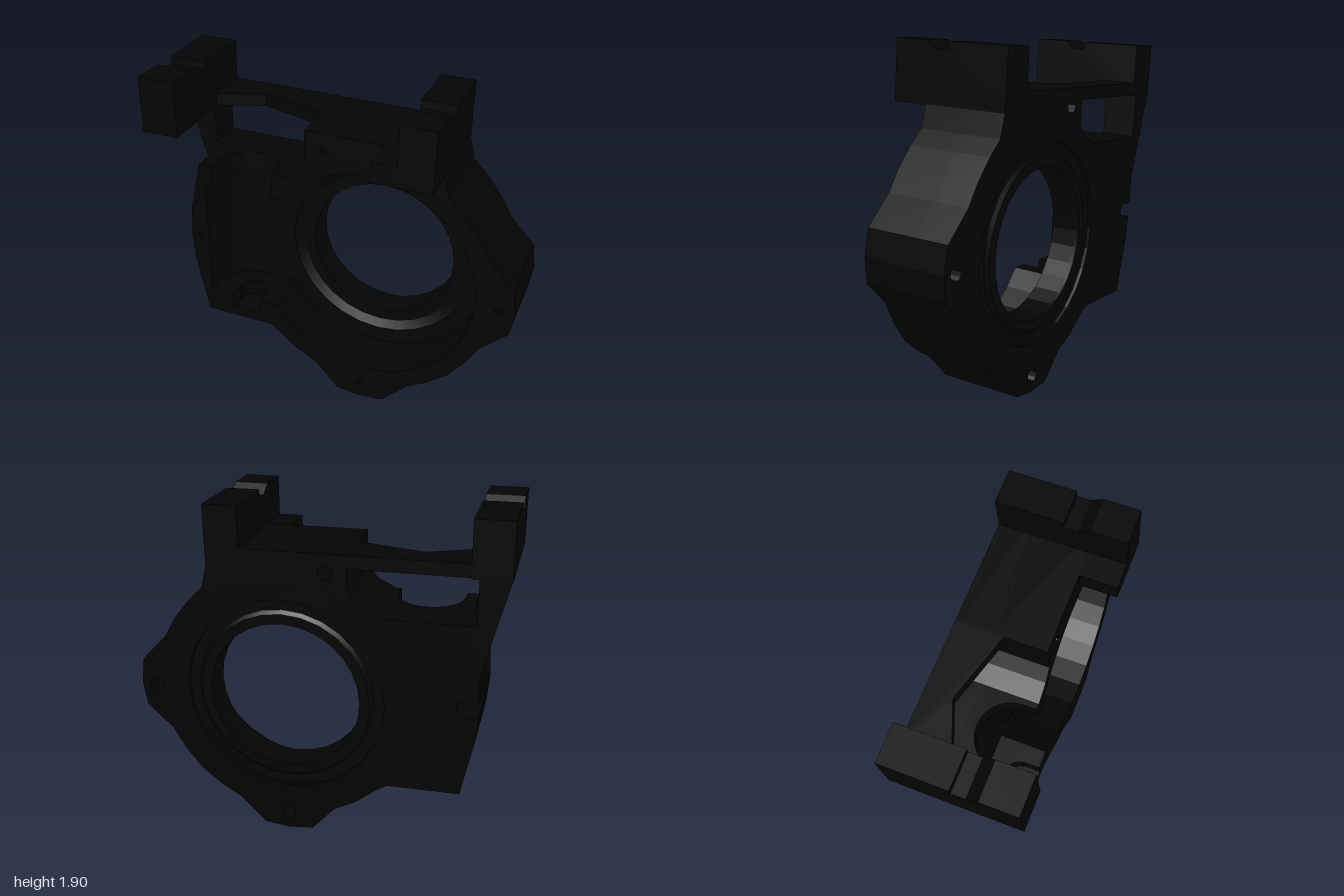
import * as THREE from 'three';
import { toCreasedNormals } from 'three/addons/utils/BufferGeometryUtils.js';

const CX = 0.17, CY = 0.829; // bore centre
const TILT = 0.0645;         // the whole housing leans back slightly

export function createModel() {
  const black = new THREE.MeshStandardMaterial({ color: 0x040404 });
  black.name = 'black';
  const blackOpen = black.clone();
  blackOpen.side = THREE.DoubleSide;

  const model = new THREE.Group();
  model.name = 'bearingHousing';
  const body = new THREE.Group();
  body.name = 'tiltedBody';
  body.rotation.x = -TILT;
  body.position.z = -0.23;
  model.add(body);

  const add = (name, geometry, material = black) => {
    const mesh = new THREE.Mesh(geometry, material);
    mesh.name = name;
    body.add(mesh);
  };
  const shapeOf = (pts) => new THREE.Shape(pts.map(([x, y]) => new THREE.Vector2(x, y)));
  const extrude = (shape, depth) =>
    new THREE.ExtrudeGeometry(shape, { depth, bevelEnabled: false });

  // Points on an arc around (cx, cy)
  const arc = (cx, cy, r, a0, a1, n) => Array.from({ length: n + 1 }, (_, i) => {
    const a = a0 + (a1 - a0) * i / n;
    return [cx + r * Math.cos(a), cy + r * Math.sin(a)];
  });
  const punch = (shape, x, y, r, n = 28) =>
    shape.holes.push(new THREE.Path(arc(x, y, r, 0, Math.PI * 2, n).slice(0, n)
      .map(([px, py]) => new THREE.Vector2(px, py))));

  // Extrusions: along z from z0 to z1, along y (plan in x,z), along x (profile in z,y)
  const slab = (name, shape, z0, z1) => add(name, extrude(shape, z1 - z0).translate(0, 0, z0));
  const plan = (name, pts, y0, y1) =>
    add(name, extrude(shapeOf(pts), y1 - y0).rotateX(Math.PI / 2).translate(0, y1, 0));
  const profile = (name, pts, x0, x1) =>
    add(name, extrude(shapeOf(pts), x1 - x0).rotateY(-Math.PI / 2).translate(x1, 0, 0));

  // Shared outline: from the left foot, under the bore, up the right, to the top block
  const rim = [
    [-0.79, 0.36], [-0.4, 0.355], [-0.34, 0.32], [-0.23, 0.23], [-0.1, 0.16], [0.03, 0.015],
    [0.17, 0], [0.31, 0.015], [0.46, 0.165], [0.57, 0.23], [0.68, 0.32], [0.765, 0.43],
    [0.84, 0.56], [0.98, 0.69], [1, 0.83], [0.98, 0.97], [0.835, 1.12], [0.77, 1.23],
    [0.68, 1.34], [0.6, 1.42], [0.57, 1.54], [0.57, 1.64], [-0.18, 1.64], [-0.18, 1.44],
    [-0.24, 1.37], [-0.34, 1.32],
  ];
  const screws = [[0.91, 0.82], [0.17, 0.095], [-0.07, 1.545]];

  // Back plate in steps, with the side strut, edge notch and counterbores
  const backOutline = [
    ...rim, [-0.84, 1.32], [-0.84, 1.58], [-1, 1.57], [-0.865, 1.055], [-0.874, 0.91],
    ...arc(-0.805, 0.865, 0.05, 2.2, -2.2, 8), [-0.871, 0.82], [-0.86, 0.69],
  ];
  const backLayer = (name, z0, z1, boreRadius) => {
    const shape = shapeOf(backOutline);
    punch(shape, CX, CY, boreRadius);
    screws.forEach(([x, y]) => punch(shape, x, y, 0.042, 12));
    slab(name, shape, z0, z1);
  };
  backLayer('rearFace', 0, 0.02, 0.55);
  backLayer('borePlate', 0.02, 0.17, 0.415);
  backLayer('bowlPlate', 0.17, 0.2, 0.53);

  // Front frame: one band around the round bowl and the square side pocket
  const a0 = Math.atan2(-0.329, -0.528), a1 = Math.atan2(0.381, -0.486);
  const frame = shapeOf([
    ...rim, [-0.37, 1.32], [-0.37, 1.21],
    ...arc(CX, CY, 0.62, a1, a0, 24),
    [-0.46, 0.5], [-0.46, 0.41], [-0.63, 0.41], [-0.63, 0.5], [-0.77, 0.5], [-0.77, 1.21],
    [-0.73, 1.21], [-0.73, 1.32], [-0.8, 1.32], [-0.865, 1.03],
    [-0.875, 0.86], [-0.86, 0.69],
  ]);
  [...screws, [-0.81, 0.865]].forEach(([x, y]) => punch(frame, x, y, 0.02, 10));
  slab('frontFrame', frame, 0.2, 0.48);

  // Turned steps in the bore; profile points are [radius, z]
  const turned = (name, pts) => {
    const g = new THREE.LatheGeometry(pts.map(([r, z]) => new THREE.Vector2(r, z)), 28);
    add(name, toCreasedNormals(g.rotateX(Math.PI / 2).translate(CX, CY, 0), 0.5), blackOpen);
  };
  turned('bowlCone', [[0.53, 0.195], [0.5, 0.18], [0.48, 0.17]]);
  turned('rearBoreCollar', [[0.49, 0.02], [0.47, 0.002], [0.415, 0.002], [0.415, 0.02]]);

  // Side pocket: curved wall, seat for the shaft end and notched upper wall
  plan('pocketCurve', [[-0.77, 0.2], ...arc(-0.55, 0.42, 0.22, -Math.PI / 2, -Math.PI, 8)],
    0.5, 1.21);
  plan('shaftSeat', [[-0.63, 0.2], [-0.46, 0.2], [-0.46, 0.38],
    ...arc(-0.545, 0.38, 0.08, 0, -Math.PI, 8), [-0.63, 0.38]], 0.41, 0.5);
  plan('pocketTopWall', [[-0.73, 0.2], [-0.37, 0.2], [-0.37, 0.48],
    ...arc(-0.55, 0.405, 0.178, 0, -Math.PI, 12), [-0.73, 0.48]], 1.21, 1.32);

  // Bridge across the window, with its front edge cut back in a V
  plan('topBridge', [[-0.82, 0], [-0.17, 0], [-0.17, 0.256], [-0.55, 0.146], [-0.82, 0.256]],
    1.57, 1.64);

  // Mounting lugs with a groove across the top
  const lug = (bottom) => [
    [0, bottom], [0.68, bottom], [0.68, 1.86], [0.49, 1.86], [0.424, 1.815],
    [0.354, 1.815], [0.354, 1.86], [0, 1.86],
  ];
  profile('rightLug', lug(1.563), -1, -0.8);
  profile('leftLug', lug(1.535), 0.385, 0.57);
  profile('leftLugShelf', [[0.48, 1.535], [0.68, 1.535], [0.68, 1.642], [0.48, 1.642]], 0.25, 0.39);

  return model;
}
